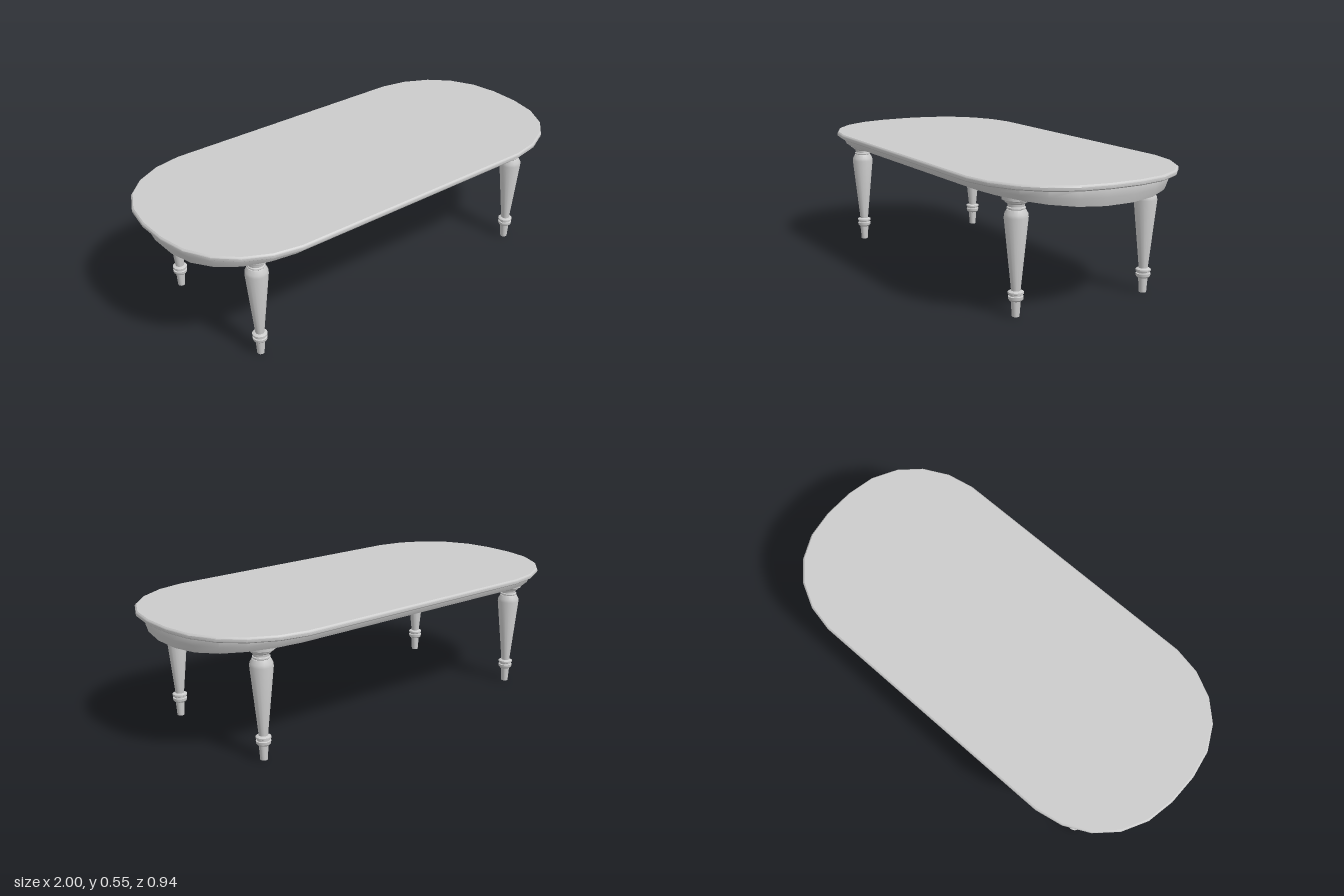
import * as THREE from 'three';
import { toCreasedNormals } from 'three/addons/utils/BufferGeometryUtils.js';

const material = new THREE.MeshStandardMaterial({ color: 0xcccccc });

// One quarter of the oval outline, from the straight side to the end
const CENTRE_X = 0.6, END_R = 0.4, HALF_DEPTH = 0.469;
const quarter = [[0.6, 0.469], [0.723, 0.445], [0.835, 0.388], [0.92, 0.305], [0.977, 0.195], [1, 0.07]];
const half = [...quarter, ...quarter.map(([x, z]) => [x, -z]).reverse()];
const outline = [...half, ...half.map(([x, z]) => [-x, z]).reverse()];
const N = outline.length;

// Outline pulled inwards by d; height may depend on z
function ring(d, height) {
  return outline.map(([x, z]) => {
    const px = Math.sign(x) * (CENTRE_X + (Math.abs(x) - CENTRE_X) * (1 - d / END_R));
    const pz = z * (1 - d / HALF_DEPTH);
    return [px, typeof height === 'function' ? height(pz) : height, pz];
  });
}

// Joins rings from bottom to top and closes both ends with strips across x
function loft(name, rings) {
  const index = [];
  const quad = (a, b, c, d) => index.push(a, b, c, a, c, d);
  for (let r = 0; r < rings.length - 1; r++) {
    for (let i = 0; i < N; i++) {
      const j = (i + 1) % N, lo = r * N, hi = lo + N;
      quad(lo + i, lo + j, hi + j, hi + i);
    }
  }
  const top = (rings.length - 1) * N;
  for (let i = 0; i < N / 2 - 1; i++) {
    quad(N - 1 - i, N - 2 - i, i + 1, i);
    quad(top + i, top + i + 1, top + N - 2 - i, top + N - 1 - i);
  }
  const geometry = new THREE.BufferGeometry();
  geometry.setAttribute('position', new THREE.Float32BufferAttribute(rings.flat(2), 3));
  geometry.setIndex(index);
  const mesh = new THREE.Mesh(toCreasedNormals(geometry, 0.55), material);
  mesh.name = name;
  return mesh;
}

// Turned leg profile: radius, height
const legProfile = [
  [0, 0], [0.0155, 0], [0.02, 0.063],
  [0.025, 0.065], [0.03, 0.071], [0.0315, 0.083], [0.026, 0.085], [0.026, 0.091],
  [0.032, 0.094], [0.032, 0.101], [0.027, 0.104], [0.019, 0.106],
  [0.049, 0.4], [0.047, 0.413], [0.038, 0.43],
  [0.034, 0.431], [0.037, 0.434], [0.037, 0.439], [0.033, 0.442],
  [0.034, 0.452], [0.044, 0.459], [0.046, 0.464], [0.057, 0.47], [0.058, 0.495],
];

export function createModel() {
  const table = new THREE.Group();
  table.name = 'ovalTable';

  // Tabletop with a rounded rim
  table.add(loft('tableTop', [
    ring(0.008, 0.529), ring(0.001, 0.534), ring(0, 0.54),
    ring(0, 0.545), ring(0.003, 0.55), ring(0.007, 0.553),
  ]));

  // Apron with sloping sides and an underside bowed down along the middle
  const belly = (z) => 0.456 + 0.038 * (z / 0.42) ** 2;
  table.add(loft('apron', [
    ring(0.046, belly), ring(0.036, (z) => belly(z) * 0.5 + 0.2625),
    ring(0.032, 0.525), ring(0.034, 0.531),
  ]));

  // Four turned legs
  const lathe = new THREE.LatheGeometry(legProfile.map(([r, y]) => new THREE.Vector2(r, y)), 16);
  const legGeometry = toCreasedNormals(lathe, 0.55);
  for (const sx of [1, -1]) {
    for (const sz of [1, -1]) {
      const leg = new THREE.Mesh(legGeometry, material);
      leg.name = (sz > 0 ? 'front' : 'back') + (sx > 0 ? 'Left' : 'Right') + 'Leg';
      leg.position.set(sx * 0.721, 0, sz * 0.315);
      table.add(leg);
    }
  }
  return table;
}
